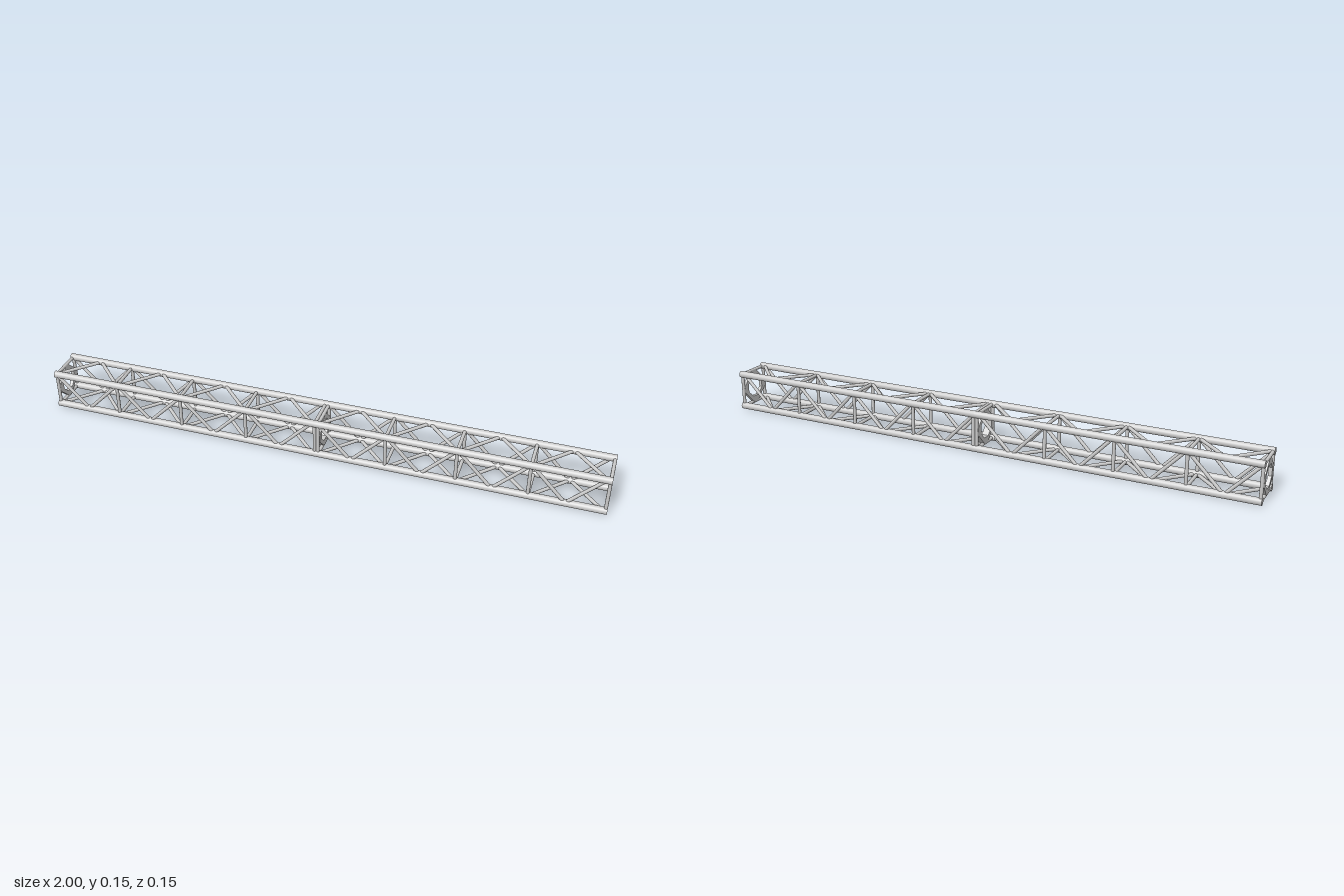
import * as THREE from 'three';

const material = new THREE.MeshStandardMaterial({ color: 0xcccccc, roughness: 0.6 });
const H = 0.0625;        // half distance between chord axes
const CY = 0.075;        // height of the truss axis
const CHORD_R = 0.0125;
const BRACE_R = 0.0062;
const BAY = 0.246;
const BAYS = 4;
const RING_T = 0.0125;

// Round bar between two points
function bar(name, a, b, radius, sides) {
  const dir = b.clone().sub(a);
  const mesh = new THREE.Mesh(new THREE.CylinderGeometry(radius, radius, dir.length(), sides), material);
  mesh.position.copy(a).add(b).multiplyScalar(0.5);
  mesh.quaternion.setFromUnitVectors(new THREE.Vector3(0, 1, 0), dir.normalize());
  mesh.name = name;
  return mesh;
}

// Eight corners of a chamfered square
function octagon(path, half, flat) {
  const pts = [[flat, half], [-flat, half], [-half, flat], [-half, -flat],
    [-flat, -half], [flat, -half], [half, -flat], [half, flat]];
  path.setFromPoints(pts.map(([x, y]) => new THREE.Vector2(x, y)));
  path.closePath();
  return path;
}

// Octagonal end plate with an octagonal opening, thickness along x
function endRing(x) {
  const shape = octagon(new THREE.Shape(), 0.0615, 0.0125);
  shape.holes.push(octagon(new THREE.Path(), 0.039, 0.0145));
  const geo = new THREE.ExtrudeGeometry(shape, { depth: RING_T, bevelEnabled: false });
  geo.rotateY(Math.PI / 2);
  const mesh = new THREE.Mesh(geo, material);
  mesh.position.x = x;
  mesh.name = 'endRing';
  return mesh;
}

// One face of the lattice: point(x, s) maps s = +1 / -1 to its two chords
function latticeFace(name, point) {
  const face = new THREE.Group();
  face.name = name;
  for (let i = 0; i <= BAYS; i++) {
    const x = i === 0 ? BRACE_R : i === BAYS ? 1 - BRACE_R : i * BAY;
    face.add(bar('post', point(x, 1), point(x, -1), BRACE_R, 12));
  }
  for (let i = 0; i < BAYS; i++) {
    const x = i * BAY;
    const mid = point(x + BAY / 2, -1);
    face.add(bar('diagonal', point(x + 0.004, 1), mid, BRACE_R, 12));
    face.add(bar('diagonal', mid, point(x + BAY, 1), BRACE_R, 12));
  }
  return face;
}

// Truss section running from x = 0 to x = 1
function section(name) {
  const g = new THREE.Group();
  g.name = name;
  for (const s of [1, -1]) {
    for (const t of [1, -1]) {
      g.add(bar('chord', new THREE.Vector3(0, s * H, t * H), new THREE.Vector3(1, s * H, t * H), CHORD_R, 24));
    }
    g.add(latticeFace(s > 0 ? 'frontLattice' : 'backLattice', (x, e) => new THREE.Vector3(x, e * H, s * H)));
    g.add(latticeFace(s > 0 ? 'topLattice' : 'bottomLattice', (x, e) => new THREE.Vector3(x, s * H, e * H)));
  }
  g.add(endRing(0), endRing(1 - RING_T));
  return g;
}

export function createModel() {
  const truss = new THREE.Group();
  truss.name = 'truss';
  const right = section('rightSection');
  right.position.set(-1, CY, 0);
  const left = section('leftSection');
  left.position.set(0, CY, 0);
  truss.add(right, left);
  return truss;
}
